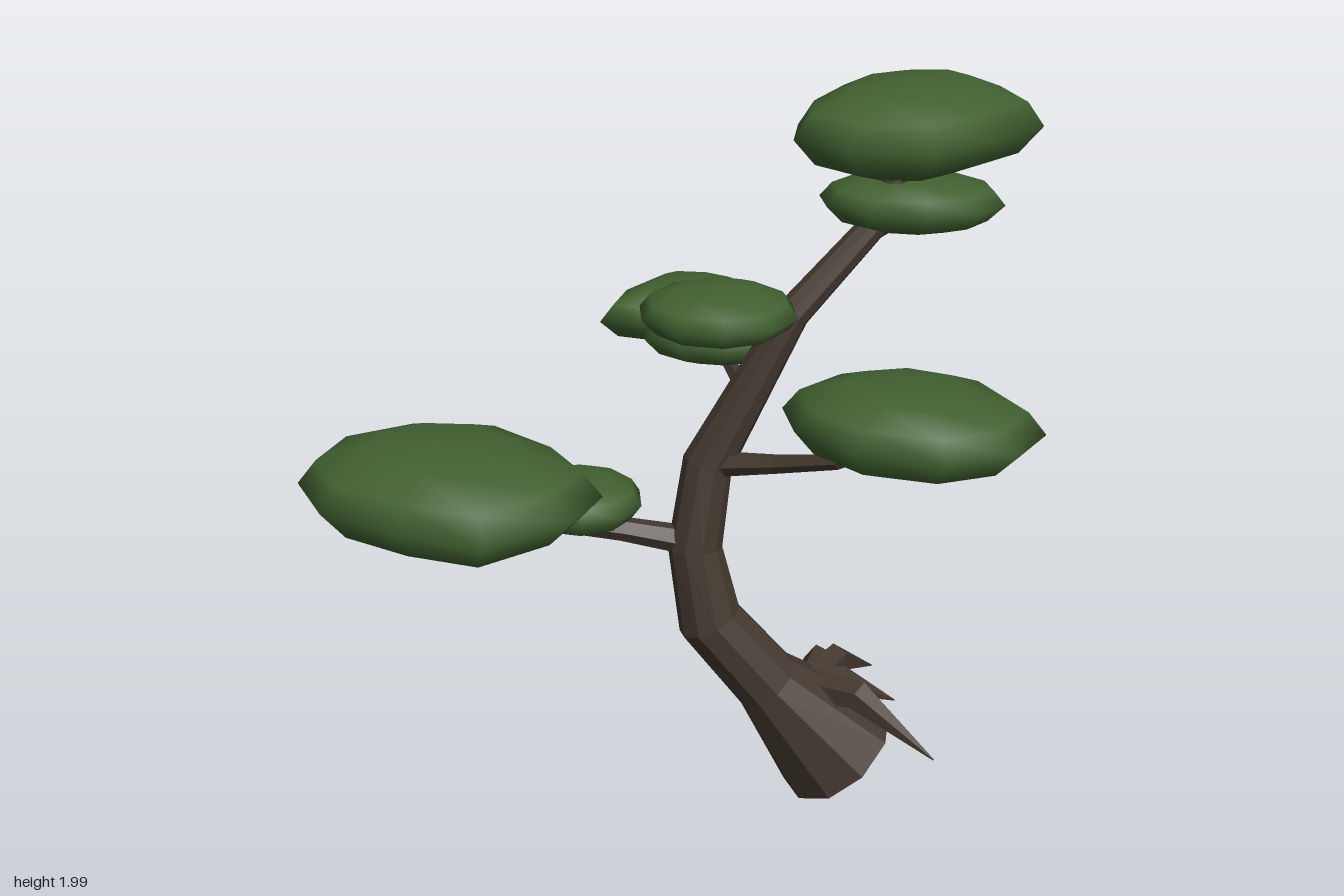
import * as THREE from 'three';

const bark = new THREE.MeshStandardMaterial({ name: 'bark brown', color: 0x43382f });
const leaf = new THREE.MeshStandardMaterial({ name: 'leaf green', color: 0x416030 });
const V = (x, y, z) => new THREE.Vector3(x, y, z);

// Skin a stack of rings (counter-clockwise about the path) and close both ends at a point
function loft(rings, start, end) {
  const n = rings[0].length, pts = [...rings.flat(), start, end], index = [];
  const s = pts.length - 2, e = s + 1, last = (rings.length - 1) * n;
  for (let j = 0; j < n; j++) {
    const k = (j + 1) % n;
    for (let i = 0; i < rings.length - 1; i++) {
      const a = i * n + j, b = i * n + k;
      index.push(a, b, a + n, b, b + n, a + n);
    }
    index.push(s, k, j, e, last + j, last + k);
  }
  const g = new THREE.BufferGeometry().setFromPoints(pts);
  g.setIndex(index);
  return g;
}

// Faceted limb through stations [x, y, z, radius]
function limb(name, stations, sides) {
  const c = stations.map(p => V(p[0], p[1], p[2]));
  const n = c.length;
  const dir = c[n - 1].clone().sub(c[0]).normalize();
  const ref = Math.abs(dir.y) > 0.6 ? V(0, 0, 1) : V(0, 1, 0);
  const rings = c.map((p, i) => {
    const t = c[Math.min(i + 1, n - 1)].clone().sub(c[Math.max(i - 1, 0)]).normalize();
    const u = ref.clone().cross(t).normalize(), v = t.clone().cross(u);
    return Array.from({ length: sides }, (_, j) => {
      const a = (j / sides) * Math.PI * 2, r = stations[i][3];
      return p.clone().addScaledVector(u, r * Math.cos(a)).addScaledVector(v, r * Math.sin(a));
    });
  });
  const g = loft(rings, c[0], c[n - 1]).toNonIndexed();
  g.computeVertexNormals();
  const m = new THREE.Mesh(g, bark);
  m.name = name;
  return m;
}

// Smooth leaf pad: a plan outline of [x, z] domed above and below height y
function pad(name, y, h, outline) {
  const n = outline.length;
  const cx = outline.reduce((s, p) => s + p[0], 0) / n;
  const cz = outline.reduce((s, p) => s + p[1], 0) / n;
  const plan = [...outline].reverse();
  const rings = [-60, -35, 0, 30, 58].map(deg => {
    const a = THREE.MathUtils.degToRad(deg), k = Math.cos(a);
    return plan.map(([x, z]) => V(cx + (x - cx) * k, y + h * Math.sin(a), cz + (z - cz) * k));
  });
  const g = loft(rings, V(cx, y - h, cz), V(cx, y + h, cz));
  g.computeVertexNormals();
  const m = new THREE.Mesh(g, leaf);
  m.name = name;
  return m;
}

// Oval outline for the smaller pads
const oval = (x, z, rx, rz, n = 10) => Array.from({ length: n }, (_, i) => {
  const a = ((i + 0.3) / n) * Math.PI * 2;
  return [x + rx * Math.cos(a), z + rz * Math.sin(a)];
});

export function createModel() {
  const tree = new THREE.Group();
  tree.name = 'bonsaiTree';

  // Leaning trunk with a flared, slanted foot
  tree.add(limb('trunk', [
    [0.465, 0.125, -0.075, 0.185], [0.265, 0.37, 0.0, 0.095], [0.11, 0.57, 0.028, 0.088],
    [0.07, 0.78, 0.018, 0.072], [0.1, 1.01, -0.008, 0.066], [0.21, 1.225, -0.018, 0.054],
    [0.31, 1.42, -0.025, 0.044], [0.5, 1.63, -0.085, 0.036], [0.58, 1.8, -0.11, 0.028],
  ], 10));

  // Pointed roots fanning over the foot
  const roots = new THREE.Group();
  roots.name = 'roots';
  const tips = [[0.72, 0.222, 0.14], [0.57, 0.22, -0.36], [0.46, 0.24, -0.34], [0.62, 0.29, -0.05]];
  tips.forEach(([x, y, z], i) => roots.add(limb('root' + (i + 1), [
    [0.38, 0.33, -0.05, 0.05],
    [0.38 + (x - 0.38) * 0.4, 0.345, -0.05 + (z + 0.05) * 0.4, 0.042],
    [x, y, z, 0.002],
  ], 5)));
  tree.add(roots);

  // Branches reaching into the pads
  tree.add(
    limb('rightBranch', [[0.07, 0.79, 0.01, 0.04], [-0.12, 0.845, 0.06, 0.032], [-0.3, 0.89, 0.12, 0.025], [-0.48, 0.96, 0.2, 0.015]], 6),
    limb('leftBranch', [[0.11, 1.01, 0, 0.035], [0.28, 1.05, 0.08, 0.025], [0.43, 1.1, 0.17, 0.02], [0.58, 1.18, 0.23, 0.012]], 6),
    limb('backBranch', [[0.21, 1.19, -0.02, 0.03], [0.16, 1.21, -0.16, 0.022], [0.08, 1.27, -0.35, 0.012]], 6),
    limb('frontBranch', [[0.31, 1.405, -0.02, 0.026], [0.23, 1.425, 0.1, 0.02], [0.13, 1.49, 0.25, 0.012]], 6),
    limb('crownBranch', [[0.5, 1.62, -0.08, 0.025], [0.6, 1.635, -0.2, 0.018], [0.66, 1.66, -0.29, 0.01]], 6),
  );

  // Leaf pads
  tree.add(
    pad('rightPad', 1.015, 0.132, [[-0.93, 0.2], [-0.88, 0.02], [-0.7, -0.09], [-0.45, -0.09], [-0.26, 0.06],
      [-0.15, 0.23], [-0.21, 0.39], [-0.4, 0.55], [-0.62, 0.49], [-0.83, 0.38]]),
    pad('rightSmallPad', 0.94, 0.072, oval(-0.225, 0.09, 0.165, 0.16)),
    pad('leftPad', 1.238, 0.108, [[0.29, 0.16], [0.41, 0.03], [0.6, -0.02], [0.8, 0.06], [0.92, 0.29],
      [0.84, 0.43], [0.67, 0.5], [0.46, 0.45], [0.32, 0.31]]),
    pad('backPad', 1.308, 0.083, [[-0.2, -0.24], [-0.17, -0.39], [-0.06, -0.56], [0.09, -0.55], [0.2, -0.49],
      [0.285, -0.38], [0.26, -0.29], [0.1, -0.23], [-0.06, -0.22]]),
    pad('backSmallPad', 1.303, 0.068, oval(0.12, -0.175, 0.208, 0.14)),
    pad('frontPad', 1.52, 0.065, oval(0.133, 0.265, 0.192, 0.182)),
    pad('crownPad', 1.883, 0.118, [[0.3, 0.06], [0.31, -0.1], [0.4, -0.31], [0.57, -0.41], [0.76, -0.43],
      [0.85, -0.32], [0.91, -0.12], [0.77, 0.04], [0.62, 0.18], [0.43, 0.18]]),
    pad('underCrownPad', 1.682, 0.073, oval(0.6, -0.15, 0.235, 0.175)),
    pad('underCrownSmallPad', 1.66, 0.055, oval(0.655, -0.3, 0.13, 0.12)),
  );
  return tree;
}
